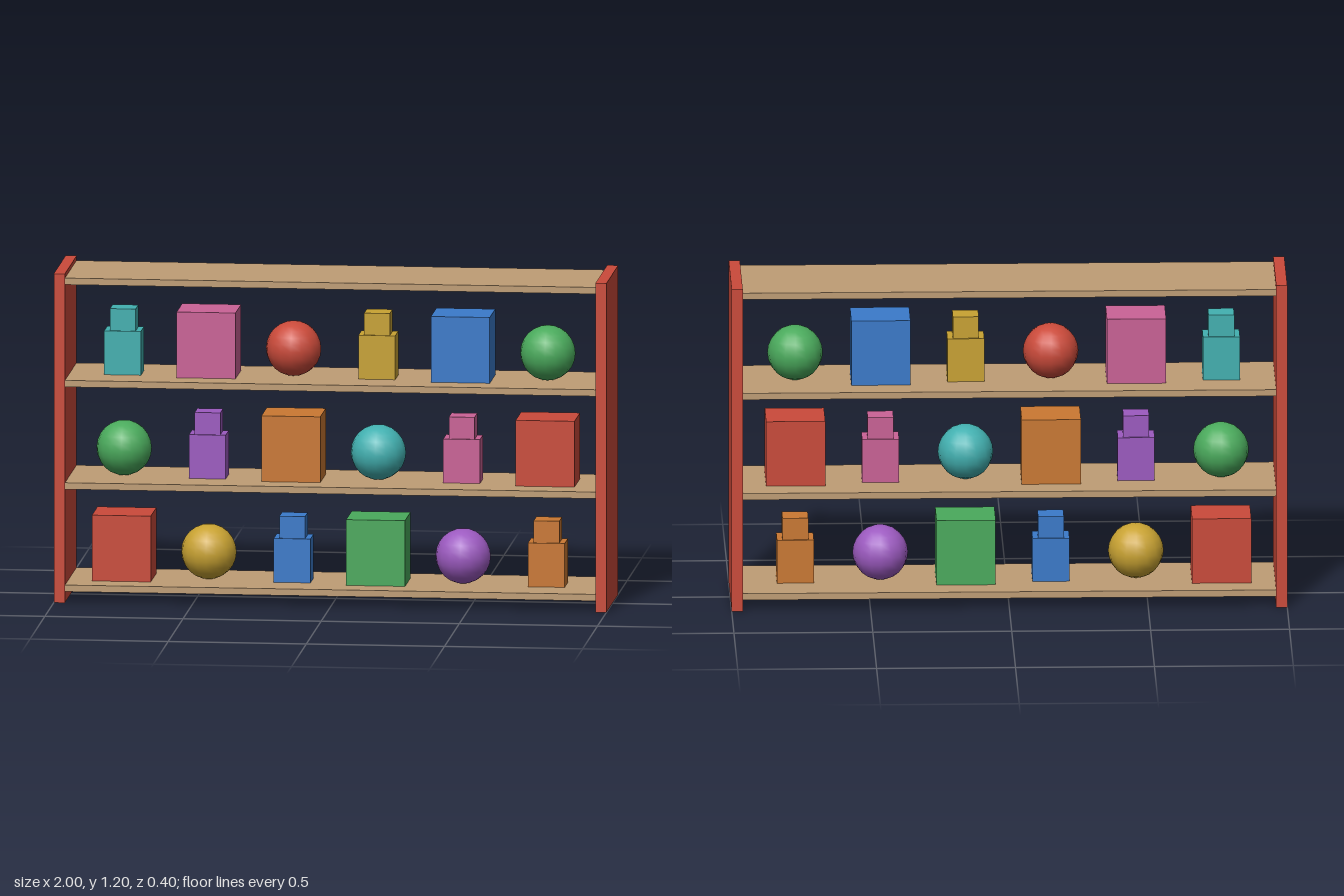
import * as THREE from 'three';

const COLORS = {
  red: 0xca4a3a, wood: 0xbf9d75, teal: 0x42b0b0, pink: 0xca6296, gold: 0xc8a232,
  blue: 0x3a7aca, green: 0x4aaa5c, purple: 0x9c5ac0, orange: 0xca7832,
};

export function createModel() {
  const model = new THREE.Group();
  const mats = {};
  for (const [name, color] of Object.entries(COLORS)) {
    mats[name] = new THREE.MeshStandardMaterial({ color });
    mats[name].name = name;
  }

  // Box standing on height y
  function box(parent, name, color, w, h, d, x, y) {
    const mesh = new THREE.Mesh(new THREE.BoxGeometry(w, h, d), mats[color]);
    mesh.name = name;
    mesh.position.set(x, y + h / 2, 0);
    parent.add(mesh);
  }

  // Side panels
  box(model, 'leftPanel', 'red', 0.04, 1.2, 0.4, 0.98, 0);
  box(model, 'rightPanel', 'red', 0.04, 1.2, 0.4, -0.98, 0);

  // Shelf boards
  const shelfTop = (i) => 0.064 + i * 0.3733;
  const thickness = 0.024;
  for (let i = 0; i < 4; i++) {
    box(model, `shelf${i + 1}`, 'wood', 1.92, thickness, 0.387, 0, shelfTop(i) - thickness);
  }

  // Toys, each built in a group whose origin rests on the shelf
  const ballGeometry = new THREE.SphereGeometry(0.1, 16, 12);
  const builders = {
    block: (g, c) => box(g, 'block', c, 0.213, 0.24, 0.188, 0, 0),
    figure: (g, c) => {
      box(g, 'figureBody', c, 0.133, 0.16, 0.107, 0, 0);
      box(g, 'figureHead', c, 0.093, 0.08, 0.093, 0, 0.16);
    },
    ball: (g, c) => {
      const ball = new THREE.Mesh(ballGeometry, mats[c]);
      ball.name = 'ball';
      ball.position.y = 0.1;
      g.add(ball);
    },
  };

  // Rows from the lowest shelf up, each from -x to +x
  const rows = [
    ['block red', 'ball gold', 'figure blue', 'block green', 'ball purple', 'figure orange'],
    ['ball green', 'figure purple', 'block orange', 'ball teal', 'figure pink', 'block red'],
    ['figure teal', 'block pink', 'ball red', 'figure gold', 'block blue', 'ball green'],
  ];
  rows.forEach((row, r) => row.forEach((item, i) => {
    const [kind, color] = item.split(' ');
    const toy = new THREE.Group();
    toy.name = `${color} ${kind}`;
    toy.position.set((i - 2.5) * 0.3067, shelfTop(r), 0);
    builders[kind](toy, color);
    model.add(toy);
  }));

  return model;
}
